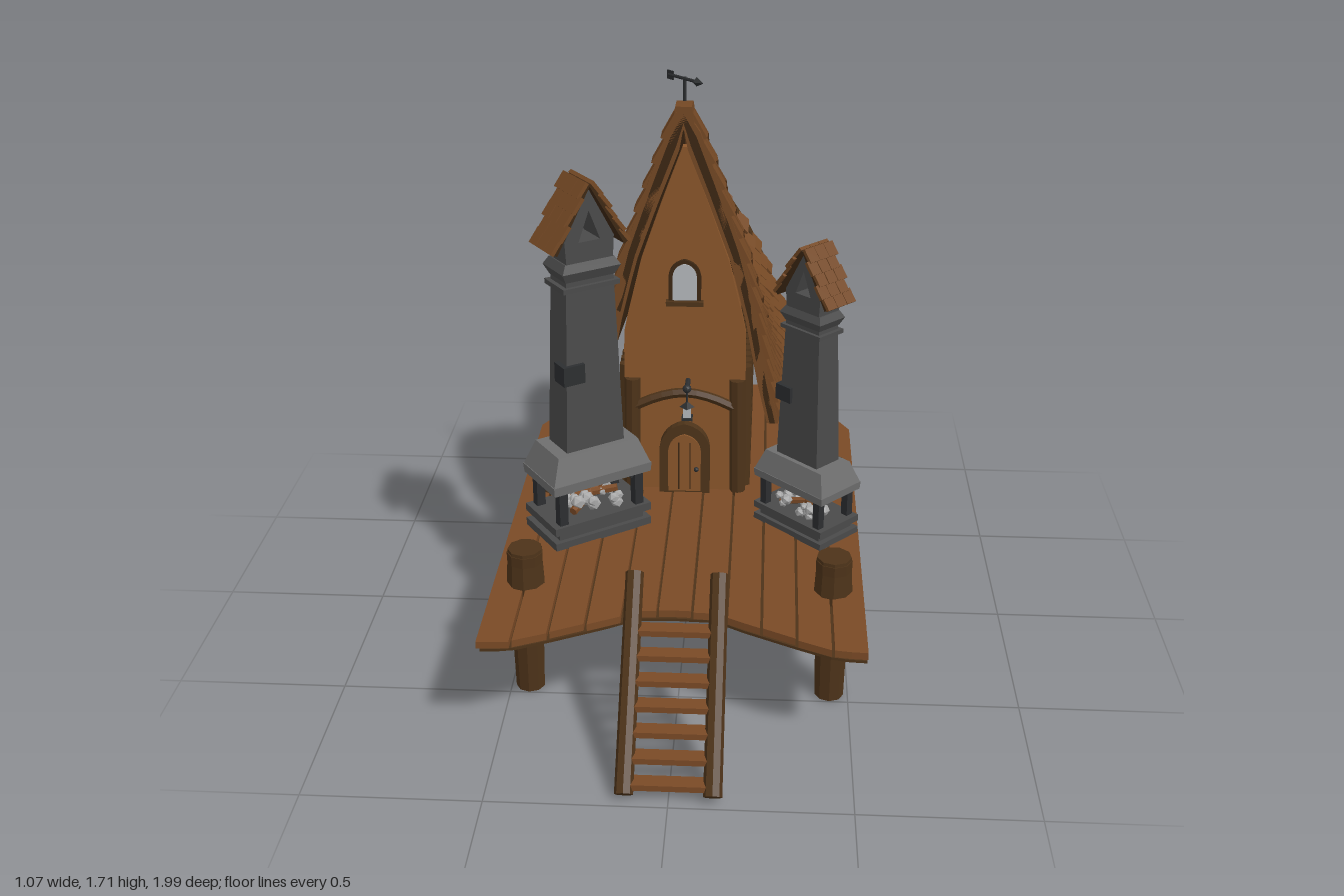
import * as THREE from 'three';
import { mergeGeometries } from 'three/addons/utils/BufferGeometryUtils.js';

const mat = (color) => new THREE.MeshStandardMaterial({ color, flatShading: true, side: THREE.DoubleSide });
const PLANK = mat(0x7a4a26), BARK = mat(0x4d3319), SHINGLE = mat(0x744824), WALL = mat(0x8a562b), DARK = mat(0x3c2713);
const STONE = mat(0x4a4a4a), LIGHT = mat(0x6e6e6e), IRON = mat(0x2c2e30), GLASS = mat(0xb4b8bc), ASH = mat(0xa8a8a8);
const V = (x, y, z) => new THREE.Vector3(x, y, z);

let seed = 7;
const rnd = () => (seed = (seed * 16807) % 2147483647) / 2147483647;

function add(parent, name, geo, m, x = 0, y = 0, z = 0) {
  const mesh = new THREE.Mesh(geo, m);
  mesh.name = name;
  mesh.position.set(x, y, z);
  parent.add(mesh);
  return mesh;
}
const box = (w, h, d) => new THREE.BoxGeometry(w, h, d);

// round bar between two points
function bar(parent, name, a, b, r, m, sides = 8) {
  const mesh = add(parent, name, new THREE.CylinderGeometry(r, r, a.distanceTo(b), sides), m);
  mesh.position.copy(a).lerp(b, 0.5);
  mesh.quaternion.setFromUnitVectors(V(0, 1, 0), b.clone().sub(a).normalize());
  return mesh;
}
// piecewise linear lookup
function lookup(pts, x) {
  for (let i = 1; i < pts.length; i++) {
    const [x0, y0] = pts[i - 1], [x1, y1] = pts[i];
    if (x <= x1) return y0 + ((y1 - y0) * Math.max(0, x - x0)) / (x1 - x0);
  }
  return pts[pts.length - 1][1];
}
// skin through closed rings; point i pairs with point n-1-i on the end caps
function loft(rings) {
  const n = rings[0].length, pos = [], idx = [];
  rings.forEach((r) => r.forEach((p) => pos.push(p.x, p.y, p.z)));
  const quad = (a, b, c, d) => idx.push(a, b, c, a, c, d);
  for (let k = 0; k < rings.length - 1; k++)
    for (let i = 0; i < n; i++) {
      const j = (i + 1) % n;
      quad(k * n + i, k * n + j, (k + 1) * n + j, (k + 1) * n + i);
    }
  for (const o of [0, (rings.length - 1) * n])
    for (let i = 0; i < n / 2 - 1; i++) quad(o + i, o + n - 1 - i, o + n - 2 - i, o + i + 1);
  const g = new THREE.BufferGeometry();
  g.setAttribute('position', new THREE.Float32BufferAttribute(pos, 3));
  g.setIndex(idx);
  g.computeVertexNormals();
  return g;
}
const extrude = (shape, depth) => new THREE.ExtrudeGeometry(shape, { depth, bevelEnabled: false, curveSegments: 6 });

// arched panel standing on y = 0
function arch(w, h) {
  const s = new THREE.Shape();
  s.moveTo(-w, 0).lineTo(w, 0).lineTo(w, h - w * 1.1);
  s.quadraticCurveTo(w * 0.9, h - w * 0.2, 0, h);
  s.quadraticCurveTo(-w * 0.9, h - w * 0.2, -w, h - w * 1.1);
  return s;
}

// swept roof surface: t runs ridge to eave, u runs front to back
const ridgeCurve = new THREE.SplineCurve([[0, 1.62], [0.12, 1.61], [0.26, 1.51], [0.38, 1.37], [0.5, 1.22], [0.6, 1.14], [0.72, 1.095], [0.82, 1.095], [0.92, 1.14], [1, 1.205]].map((p) => new THREE.Vector2(...p)));
const ridgeTable = ridgeCurve.getPoints(40).map((p) => [p.x, p.y]);
const widths = [[0, 0.012], [0.09, 0.045], [0.24, 0.1], [0.44, 0.168], [0.64, 0.215], [0.84, 0.25], [1, 0.285]];
function roofPoint(side, t, u, off = 0) {
  const ridge = lookup(ridgeTable, u), eave = 0.635 - 0.06 * u * (1 - u) + 0.02 * u;
  const w = lookup(widths, t) + 0.025 * u * t + off * 0.85;
  const y = ridge + (eave - ridge) * t + off * (1 - t) * 1.4;
  return V(side * Math.max(0, w), y, -0.07 - u * (0.885 + 0.045 * t * t));
}
function roofRing(u, outer, inner) {
  const ts = [], ring = [], N = 14;
  for (let i = -N; i <= N; i++) ts.push(i / N);
  ts.forEach((t) => ring.push(roofPoint(Math.sign(t), Math.abs(t), u, outer)));
  ts.reverse().forEach((t) => ring.push(roofPoint(Math.sign(t), Math.abs(t), u, inner)));
  return ring;
}

function shingles() {
  const out = [], rows = 13, cols = 15;
  for (const side of [-1, 1])
    for (let r = 0; r < rows; r++)
      for (let c = 0; c < cols; c++) {
        const u0 = Math.max(0, (c + (r % 2 ? -0.5 : 0) + rnd() * 0.25) / cols), u1 = Math.min(1, u0 + (0.86 + rnd() * 0.1) / cols);
        const t0 = r / rows, t1 = Math.min(1.0, (r + 1.05 + rnd() * 0.15) / rows);
        const a = roofPoint(side, t0, u0), X = roofPoint(side, t0, u1).sub(a), Z = roofPoint(side, t1, u0).sub(a);
        const n = Z.clone().cross(X).normalize(), outward = n.clone().multiplyScalar(n.x * side > 0 ? 1 : -1);
        const mid = roofPoint(side, (t0 + t1) / 2, (u0 + u1) / 2).addScaledVector(outward, 0.012);
        Z.addScaledVector(outward, 0.014);
        out.push(box(1, 1, 1).applyMatrix4(new THREE.Matrix4().makeBasis(X, n.multiplyScalar(0.014), Z).setPosition(mid)));
      }
  return mergeGeometries(out);
}

// gable wall filling the roof section at u
function gable(u) {
  const s = new THREE.Shape(), pts = [];
  for (let t = 0.08; t < 0.96; t += 0.06) {
    const p = roofPoint(1, t, u);
    pts.push([Math.min(0.19, Math.max(0, p.x - 0.035)), p.y - 0.04]);
  }
  s.moveTo(-0.19, 0.35).lineTo(0.19, 0.35);
  pts.slice().reverse().forEach(([x, y]) => s.lineTo(x, y));
  pts.forEach(([x, y]) => s.lineTo(-x, y));
  return extrude(s, 0.03);
}

function windowAt(parent, y, z, dir) {
  const g = new THREE.Group();
  g.name = 'window';
  add(g, 'windowFrame', extrude(arch(0.05, 0.14), 0.012), DARK);
  add(g, 'windowGlass', extrude(arch(0.037, 0.118), 0.016), GLASS, 0, 0.01, 0);
  add(g, 'windowSill', box(0.115, 0.014, 0.03), BARK, 0, 0, 0.01);
  g.position.set(0, y, z);
  if (dir < 0) g.rotation.y = Math.PI;
  parent.add(g);
}

function house() {
  const g = new THREE.Group();
  g.name = 'house';
  const us = Array.from({ length: 31 }, (_, i) => i / 30);
  add(g, 'roofShell', loft(us.map((u) => roofRing(u, 0, -0.02))), DARK);
  add(g, 'roofShingles', shingles(), SHINGLE);
  add(g, 'frontBargeBoard', loft([0, 0.025].map((u) => roofRing(u, 0.012, -0.03))), SHINGLE);
  add(g, 'backBargeBoard', loft([0.975, 1].map((u) => roofRing(u, 0.012, -0.03))), BARK);
  add(g, 'ridgeBeam', loft(us.map((u) => {
    const p = roofPoint(1, 0, u);
    return [[-0.024, 0.02], [0.024, 0.02], [0.034, -0.05], [-0.034, -0.05]].map(([x, y]) => V(x, p.y + y, p.z));
  })), SHINGLE);
  add(g, 'frontWall', gable(0.08), WALL, 0, 0, -0.17);
  add(g, 'backWall', gable(0.92), WALL, 0, 0, -0.89);
  // log side walls
  for (const s of [-1, 1]) {
    add(g, 'sideWall', box(0.02, 0.42, 0.7), DARK, s * 0.175, 0.56, -0.52);
    for (let i = 0; i < 15; i++) bar(g, 'wallLog', V(s * 0.19, 0.34, -0.185 - i * 0.0485), V(s * 0.19, 0.78, -0.185 - i * 0.0485), 0.021, BARK, 6);
    for (const z of [-0.14, -0.89]) bar(g, 'cornerPost', V(s * 0.17, 0.35, z), V(s * 0.165, 0.75, z), 0.025, BARK);
  }
  // curved cross beams
  for (const z of [-0.135, -0.895]) {
    const curve = new THREE.CatmullRomCurve3([V(-0.17, 0.65, z), V(-0.08, 0.69, z), V(0, 0.705, z), V(0.08, 0.69, z), V(0.17, 0.65, z)]);
    add(g, 'crossBeam', new THREE.TubeGeometry(curve, 10, 0.016, 6), BARK);
  }
  windowAt(g, 1.01, -0.14, 1);
  windowAt(g, 0.82, -0.89, -1);
  windowAt(g, 0.48, -0.89, -1);
  // door
  add(g, 'doorFrame', extrude(arch(0.08, 0.245), 0.03), BARK, 0, 0.36, -0.14);
  add(g, 'door', extrude(arch(0.052, 0.2), 0.036), WALL, 0, 0.37, -0.14);
  for (const x of [-0.018, 0.018]) add(g, 'doorSeam', box(0.004, 0.165, 0.004), DARK, x, 0.46, -0.104);
  add(g, 'doorKnob', new THREE.IcosahedronGeometry(0.008, 1), IRON, 0.038, 0.45, -0.1);
  // lantern
  bar(g, 'lanternBracket', V(0.01, 0.745, -0.14), V(0.01, 0.745, -0.075), 0.008, IRON);
  add(g, 'lanternBoss', new THREE.IcosahedronGeometry(0.014, 1), IRON, 0.01, 0.745, -0.075);
  bar(g, 'lanternChain', V(0.01, 0.745, -0.08), V(0.01, 0.69, -0.08), 0.003, IRON);
  add(g, 'lanternCap', new THREE.ConeGeometry(0.024, 0.02, 4), IRON, 0.01, 0.69, -0.08);
  add(g, 'lanternGlass', box(0.024, 0.035, 0.024), GLASS, 0.01, 0.663, -0.08);
  add(g, 'lanternBase', box(0.034, 0.008, 0.034), IRON, 0.01, 0.643, -0.08);
  // weathervane
  const vane = new THREE.Group();
  vane.name = 'weathervane';
  bar(vane, 'vanePole', V(0, -0.09, 0), V(0, 0.005, 0), 0.005, IRON);
  bar(vane, 'vaneArm', V(-0.07, 0, 0), V(0.06, 0, 0), 0.005, IRON);
  add(vane, 'vaneHead', new THREE.ConeGeometry(0.014, 0.03, 4), IRON, 0.065).rotation.z = -Math.PI / 2;
  add(vane, 'vaneTail', box(0.025, 0.026, 0.004), IRON, -0.063);
  vane.position.set(0, 1.705, -0.14);
  vane.rotation.y = -Math.PI / 4;
  g.add(vane);
  g.position.x = -0.015;
  return g;
}

// tapered block with rectangular section
function taper(w0, d0, w1, d1, y0, y1) {
  return loft([[w0, d0, y0], [w1, d1, y1]].map(([w, d, y]) => [V(-w / 2, y, -d / 2), V(w / 2, y, -d / 2), V(w / 2, y, d / 2), V(-w / 2, y, d / 2)]));
}

function chimney(x, z, angle, sx, sy) {
  const g = new THREE.Group();
  g.name = 'chimney';
  const block = (name, m, ...a) => add(g, name, taper(...a), m);
  block('hearthBase', STONE, 0.33, 0.2, 0.33, 0.2, 0, 0.025);
  block('hearthStep', STONE, 0.29, 0.17, 0.29, 0.17, 0.025, 0.05);
  block('hearthRim', STONE, 0.33, 0.2, 0.33, 0.2, 0.05, 0.075);
  for (const px of [-0.13, 0.13]) for (const pz of [-0.075, 0.075]) add(g, 'hearthPost', box(0.028, 0.13, 0.028), IRON, px, 0.135, pz);
  for (const px of [-0.115, 0.115]) add(g, 'hearthRail', box(0.012, 0.014, 0.15), IRON, px, 0.17, 0);
  for (let i = 0; i < 26; i++) add(g, 'coal', new THREE.IcosahedronGeometry(0.014 + rnd() * 0.01, 0), ASH, (rnd() - 0.5) * 0.2, 0.08 + rnd() * 0.04, (rnd() - 0.5) * 0.12);
  for (const s of [-1, 1]) bar(g, 'firewood', V(-0.08, 0.09, s * 0.05), V(0.08, 0.125, -s * 0.04), 0.013, PLANK, 6);
  block('mantel', LIGHT, 0.33, 0.2, 0.335, 0.205, 0.185, 0.215);
  block('mantelHood', LIGHT, 0.33, 0.2, 0.27, 0.15, 0.215, 0.295);
  block('shaft', STONE, 0.195, 0.115, 0.155, 0.095, 0.285, 0.84);
  add(g, 'brickPatch', box(0.07, 0.06, 0.06), IRON, -0.068, 0.545, 0.035);
  block('collar', STONE, 0.185, 0.12, 0.185, 0.12, 0.8, 0.815);
  block('collarFlare', STONE, 0.16, 0.1, 0.19, 0.125, 0.83, 0.86);
  block('collarTop', STONE, 0.19, 0.125, 0.16, 0.1, 0.86, 0.885);
  // gabled head with triangular vent
  const head = new THREE.Shape();
  head.moveTo(-0.075, 0.87).lineTo(0.075, 0.87).lineTo(0.08, 0.95).lineTo(0, 1.1).lineTo(-0.08, 0.95);
  const vent = new THREE.Path();
  vent.moveTo(-0.035, 0.945).lineTo(0, 1.035).lineTo(0.035, 0.945);
  head.holes.push(vent);
  add(g, 'chimneyHead', extrude(head, 0.1), STONE, 0, 0, -0.05);
  // shingled cap
  const slope = Math.atan2(0.19, 0.11);
  for (const s of [-1, 1]) {
    add(g, 'capBoard', box(0.22, 0.014, 0.12), DARK, s * 0.06, 1.018, 0).rotation.z = -s * slope;
    for (let r = 0; r < 5; r++)
      for (let c = 0; c < 3; c++) {
        const k = (r + 0.5) / 5;
        const m = add(g, 'capShingle', box(0.052, 0.012, 0.042 + rnd() * 0.004), SHINGLE, s * (0.012 + 0.11 * k), 1.118 - 0.19 * k, (c - 1) * 0.046 + (r % 2 ? 0.006 : -0.006));
        m.rotation.z = -s * (slope - 0.12);
      }
  }
  g.position.set(x, 0.36, z);
  g.rotation.y = angle;
  g.scale.set(sx, sy, sx);
  return g;
}

function deck() {
  const g = new THREE.Group();
  g.name = 'deck';
  const front = [[0, 0.59], [0.13, 0.595], [0.15, 0.62], [0.25, 0.67], [0.35, 0.72], [0.45, 0.765], [0.54, 0.77]];
  const back = [[0, 0.97], [0.25, 0.95], [0.35, 0.89], [0.45, 0.75], [0.54, 0.58]];
  const slab = (x0, x1, h, steps) => {
    const s = new THREE.Shape(), at = (i) => x0 + ((x1 - x0) * i) / steps;
    for (let i = 0; i <= steps; i++) s[i ? 'lineTo' : 'moveTo'](at(i), -lookup(front, Math.abs(at(i))));
    for (let i = steps; i >= 0; i--) s.lineTo(at(i), lookup(back, Math.abs(at(i))));
    return extrude(s, h).rotateX(-Math.PI / 2);
  };
  add(g, 'deckUnderside', slab(-0.53, 0.53, 0.008, 22), BARK, 0, 0.328, 0);
  for (let i = 0; i < 11; i++) add(g, 'deckPlank', slab(-0.54 + i * 0.0982, -0.45 + i * 0.0982, 0.022, 2), PLANK, 0, 0.337 + (i % 3) * 0.002, 0);
  // stilts
  for (const s of [-1, 1])
    for (const [x, z] of [[0.445, 0.455], [0.445, -0.135], [0.295, -0.73]]) {
      add(g, 'stilt', new THREE.CylinderGeometry(0.053, 0.043, 0.46, 9), BARK, s * x, 0.235, z);
      add(g, 'stiltCap', new THREE.CylinderGeometry(0.05, 0.056, 0.11, 9), BARK, s * x, 0.42, z);
    }
  // ladder
  for (const s of [-1, 1]) bar(g, 'ladderRail', V(s * 0.12, 0.025, 0.975), V(s * 0.12, 0.455, 0.54), 0.026, BARK);
  for (let i = 0; i < 7; i++) add(g, 'ladderRung', box(0.22, 0.018, 0.045), PLANK, 0, 0.045 + i * 0.049, 0.95 - i * 0.0495);
  return g;
}

export function createModel() {
  const model = new THREE.Group();
  model.name = 'stiltHouse';
  model.add(deck(), house(), chimney(-0.3, 0.107, 0.61, 1, 1), chimney(0.37, 0.077, -0.77, 0.85, 0.82));
  return model;
}
